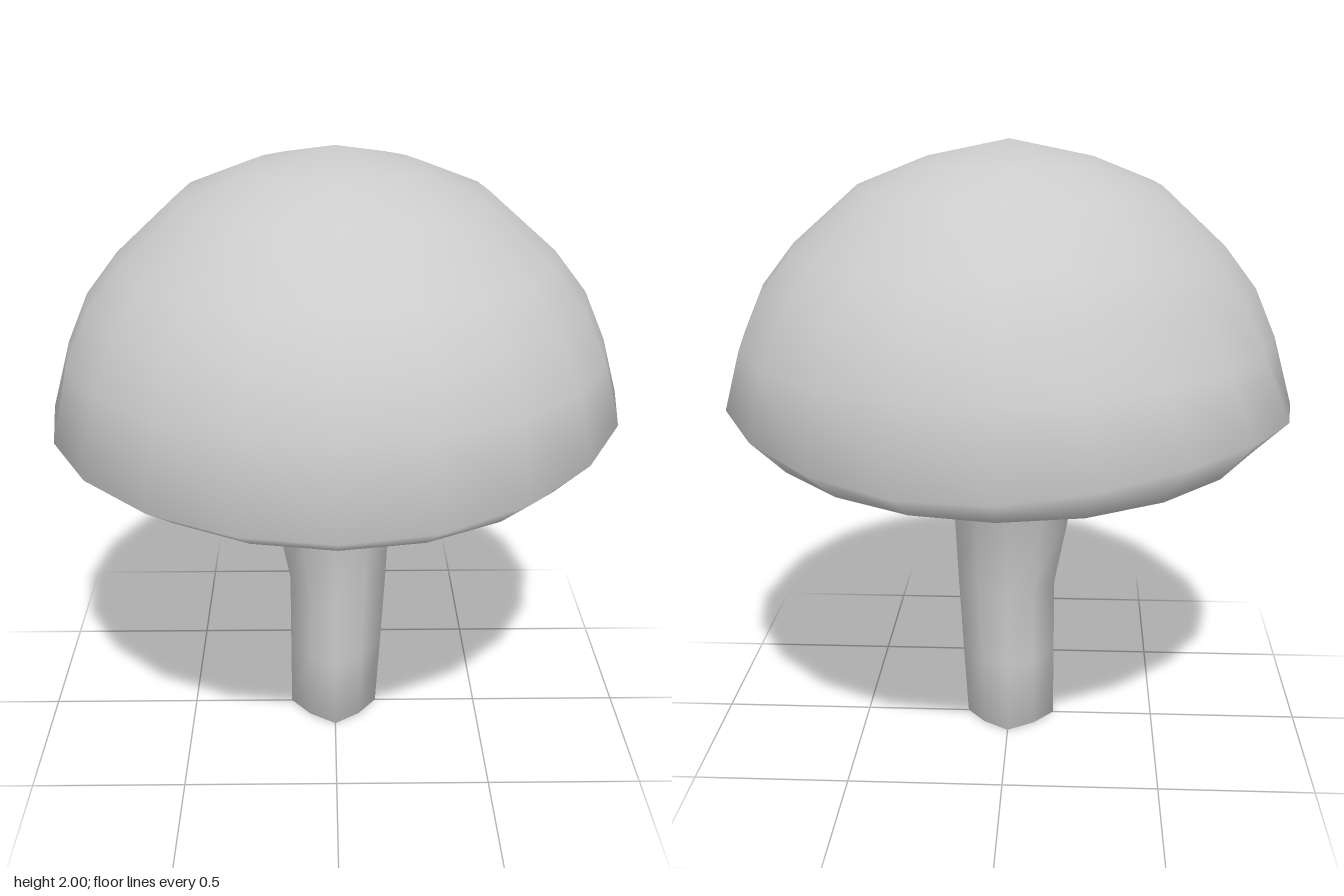
import * as THREE from 'three';
import { mergeVertices } from 'three/addons/utils/BufferGeometryUtils.js';

const material = new THREE.MeshStandardMaterial({ color: 0xcccccc, side: THREE.DoubleSide });

// Moves every vertex by a rule, then welds the seams and smooths the normals
function reshapedPart(name, geometry, rule) {
  const pos = geometry.attributes.position;
  const v = new THREE.Vector3();
  for (let i = 0; i < pos.count; i++) {
    rule(v.fromBufferAttribute(pos, i));
    pos.setXYZ(i, v.x, v.y, v.z);
  }
  geometry.deleteAttribute('uv');
  geometry.deleteAttribute('normal');
  const welded = mergeVertices(geometry, 1e-4);
  welded.computeVertexNormals();
  const mesh = new THREE.Mesh(welded, material);
  mesh.name = name;
  return mesh;
}

export function createModel() {
  const group = new THREE.Group();
  group.name = 'mushroom';

  // Cap: hollow underside, rolled rim, then the dome up to the crown
  const profile = [
    [0, 1.19], [0.43, 1.17], [0.66, 1.125], [0.81, 1.035], [0.925, 1.11], [0.875, 1.37],
    [0.805, 1.53], [0.7, 1.665], [0.485, 1.855], [0.28, 1.938], [0, 2],
  ].map(([r, y]) => new THREE.Vector2(r, y));
  group.add(reshapedPart('cap', new THREE.LatheGeometry(profile, 20), (v) => {
    const r = Math.hypot(v.x, v.z);
    const a = Math.atan2(v.z, v.x);
    const backRight = Math.max(0, Math.cos(a + 0.75 * Math.PI)) ** 4;
    // The rim dips at front and back, and rises on the left and back right
    if (v.y < 1.12 && r > 0.7) v.y += 0.02 * Math.cos(2 * a);
    if (r > 0.9) v.y += 0.06 * Math.max(0, Math.cos(a)) ** 2 + 0.06 * backRight;
    // The dome is flatter at the back right
    if (v.y > 1.3 && v.y < 1.8) {
      const k = 1 - 0.06 * backRight;
      v.x *= k;
      v.z *= k;
    }
  }));

  // Uneven stem flaring into the cap: y, reach to +x, -x, +z, -z, and fullness of its corners
  const rings = [
    [0, 0, 0, 0, 0, 0],
    [0, 0.145, 0.155, 0.15, 0.14, 0.82],
    [0.24, 0.16, 0.155, 0.16, 0.135, 0.8],
    [0.5, 0.175, 0.155, 0.172, 0.16, 0.8],
    [0.8, 0.19, 0.213, 0.19, 0.185, 0.8],
    [1.03, 0.205, 0.262, 0.25, 0.295, 0.93],
    [1.18, 0.3, 0.36, 0.38, 0.4, 1.13],
  ];
  const rows = rings.length - 1;
  const stem = new THREE.CylinderGeometry(1, 1, 1, 8, rows, true);
  group.add(reshapedPart('stem', stem, (v) => {
    const [y, right, left, front, back, corner] = rings[Math.round((v.y + 0.5) * rows)];
    const k = Math.abs(v.x * v.z) > 0.1 ? corner : 1;
    v.set(k * v.x * (v.x > 0 ? right : left), y, k * v.z * (v.z > 0 ? front : back));
  }));

  return group;
}
